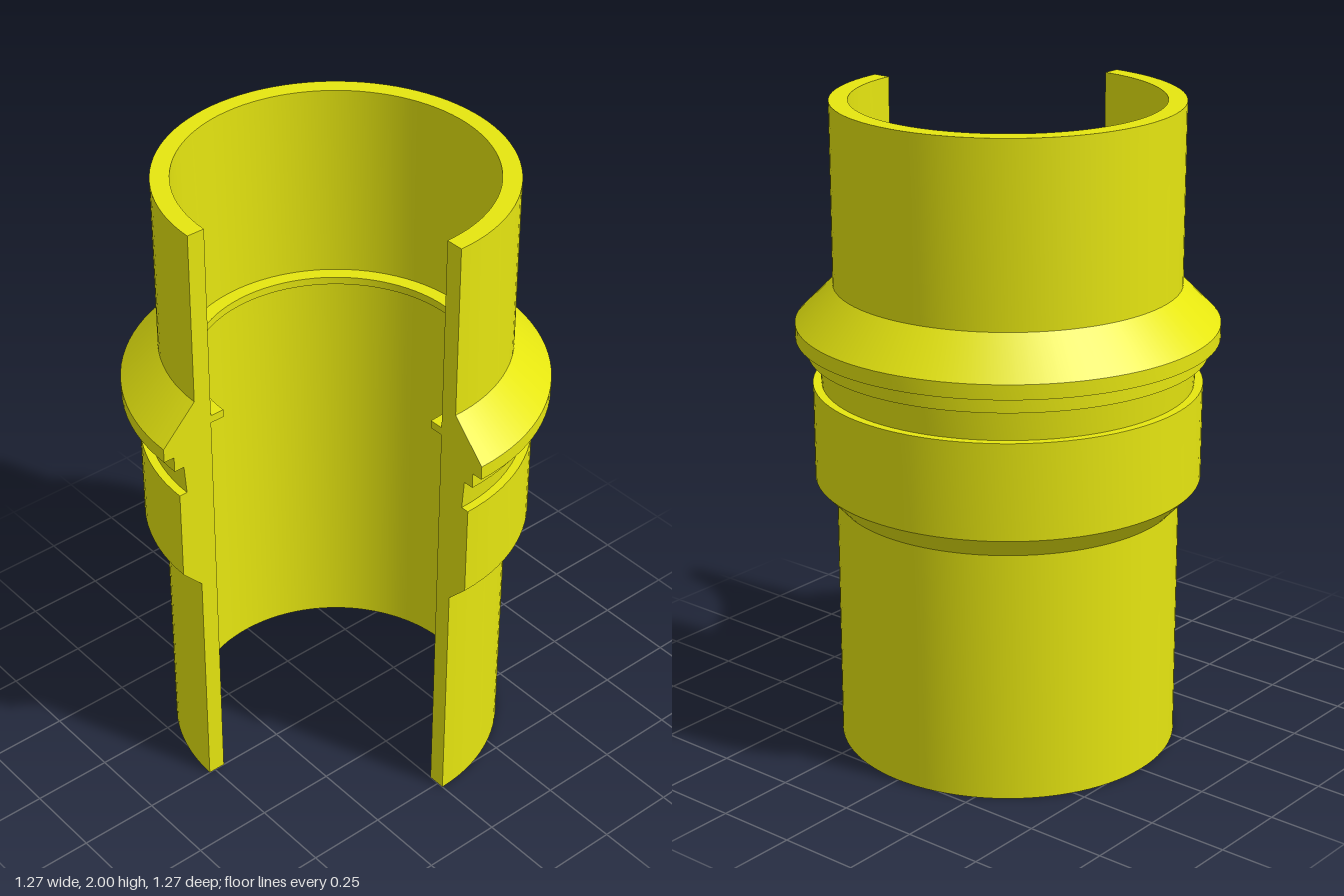
import * as THREE from 'three';
import { toCreasedNormals } from 'three/addons/utils/BufferGeometryUtils.js';

// Wall section as [radius, height]: up the outside, down the bore
const SECTION = [
  [0.521, 0], [0.521, 0.78],                  // lower pipe
  [0.586, 0.85], [0.586, 1.145],              // sleeve
  [0.56, 1.145], [0.567, 1.24],               // groove
  [0.6, 1.24], [0.6, 1.29],                   // step
  [0.635, 1.29], [0.635, 1.335], [0.521, 1.45], // flange and its bevel
  [0.521, 2], [0.465, 2],                     // upper pipe rim
  [0.465, 1.375], [0.42, 1.375], [0.42, 1.35], [0.465, 1.35], // inner stop ring
  [0.465, 0],
];

export function createModel() {
  const group = new THREE.Group();
  group.name = 'cutawayPipeJoint';
  const material = new THREE.MeshStandardMaterial({ color: 0xe6e610 });

  const add = (name, geometry) => {
    const mesh = new THREE.Mesh(geometry, material);
    mesh.name = name;
    group.add(mesh);
    return mesh;
  };

  // Three-quarter turn, leaving the front left quarter open
  const points = [...SECTION, SECTION[0]].map(([r, y]) => new THREE.Vector2(r, y));
  const body = new THREE.LatheGeometry(points, 72, Math.PI / 2, Math.PI * 1.5);
  add('pipeBody', toCreasedNormals(body, 0.5));

  // Flat faces closing the two ends of the turn
  const cutFace = (side) => new THREE.ShapeGeometry(
    new THREE.Shape(SECTION.map(([r, y]) => new THREE.Vector2(side * r, y))));
  add('leftCutFace', cutFace(1));
  add('frontCutFace', cutFace(-1)).rotation.y = Math.PI / 2;

  return group;
}
